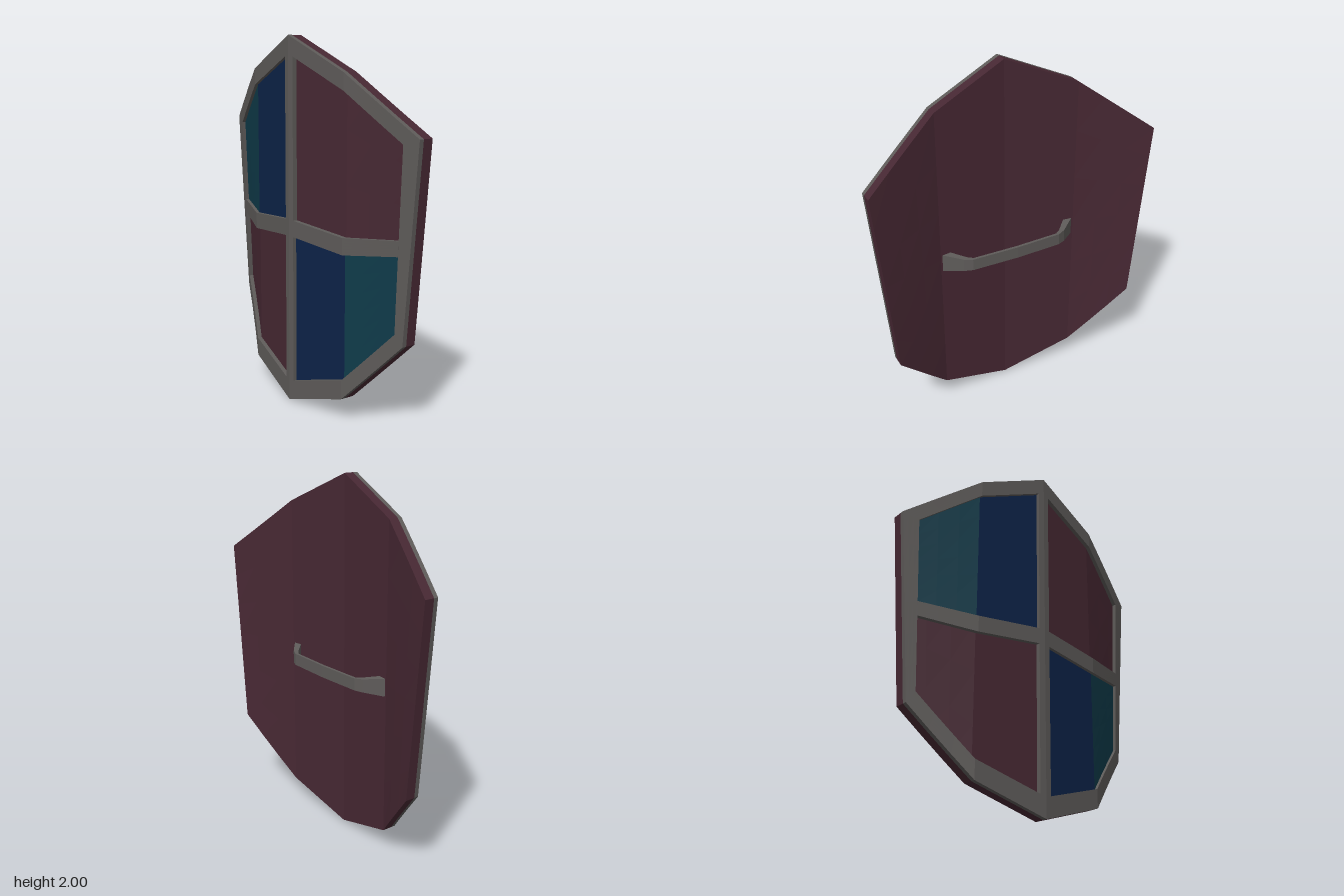
import * as THREE from 'three';

const mat = (name, color) => Object.assign(new THREE.MeshStandardMaterial({ color }), { name });

// Front surface of the bent shield: folds at x = 0 and x = +-0.41
function surfaceZ(x, y) {
  const a = Math.abs(x);
  if (a <= 0.41) return 0.13 - 0.05 * a / 0.41;
  const edge = 0.73 + 0.09 * (y - 0.48) / 1.04;
  return 0.08 - 0.135 * Math.min(1, (a - 0.41) / (edge - 0.41));
}

function quadGeometry(quads) {
  const pos = [];
  for (const [a, b, c, d] of quads) pos.push(...a, ...b, ...c, ...a, ...c, ...d);
  const g = new THREE.BufferGeometry();
  g.setAttribute('position', new THREE.Float32BufferAttribute(pos, 3));
  g.computeVertexNormals();
  return g;
}

const flip = (pts) => pts.map(([x, y]) => [-x, y]).reverse();
const both = (pts) => [...flip(pts).slice(0, -1), ...pts];

// Plate following the shield surface between an upper and a lower line (left to right)
function plate(tops, bottoms, offset, depth, rows = 6, steps = 3) {
  const columns = [];
  const lerp = (p, q, t) => [p[0] + (q[0] - p[0]) * t, p[1] + (q[1] - p[1]) * t];
  for (let i = 0; i < tops.length - 1; i++) {
    for (let s = i ? 1 : 0; s <= steps; s++) {
      const t = lerp(tops[i], tops[i + 1], s / steps);
      const b = lerp(bottoms[i], bottoms[i + 1], s / steps);
      columns.push(Array.from({ length: rows + 1 }, (_, r) => lerp(b, t, r / rows)));
    }
  }
  const layer = (o) => columns.map((c) => c.map(([x, y]) => [x, y, surfaceZ(x, y) - o]));
  const F = layer(offset), B = layer(offset + depth);
  const quads = [], n = columns.length - 1;
  for (let i = 0; i < n; i++) {
    const j = i + 1;
    for (let r = 0; r < rows; r++) {
      quads.push([F[i][r], F[j][r], F[j][r + 1], F[i][r + 1]]);
      quads.push([B[j][r], B[i][r], B[i][r + 1], B[j][r + 1]]);
    }
    quads.push([F[i][rows], F[j][rows], B[j][rows], B[i][rows]]);
    quads.push([B[i][0], B[j][0], F[j][0], F[i][0]]);
  }
  for (let r = 0; r < rows; r++) {
    quads.push([B[0][r], F[0][r], F[0][r + 1], B[0][r + 1]]);
    quads.push([F[n][r], B[n][r], B[n][r + 1], F[n][r + 1]]);
  }
  return quadGeometry(quads);
}

// Bent strap; each section is [outer x, outer z, inner x, inner z, half height]
function strap(half, y) {
  const left = half.map(([xo, zo, xi, zi, h]) => [-xo, zo, -xi, zi, h]);
  const all = [...left, ...half.slice(0, -1).reverse()];
  const quads = [];
  const corners = all.map(([xo, zo, xi, zi, h]) => ({
    ol: [xo, y - h, zo], oh: [xo, y + h, zo], il: [xi, y - h, zi], ih: [xi, y + h, zi],
  }));
  for (let i = 0; i < corners.length - 1; i++) {
    const a = corners[i], b = corners[i + 1];
    quads.push([b.ol, a.ol, a.oh, b.oh], [a.il, b.il, b.ih, a.ih]);
    quads.push([a.ih, b.ih, b.oh, a.oh], [a.ol, b.ol, b.il, a.il]);
  }
  return quadGeometry(quads);
}

export function createModel() {
  const wood = mat('maroon', 0x472833);
  const metal = mat('grey metal', 0x5e5b59);
  const navy = mat('navy', 0x0d2348);
  const teal = mat('teal', 0x0f3b4a);

  const model = new THREE.Group();
  model.name = 'shield';
  const add = (name, geometry, material) => {
    const mesh = new THREE.Mesh(geometry, material);
    mesh.name = name;
    model.add(mesh);
  };

  // Outer outline and inner edge of the rim, right half
  const outerTop = [[0, 2], [0.41, 1.82], [0.82, 1.52]];
  const outerBottom = [[0, 0], [0.41, 0.13], [0.73, 0.48]];
  const innerTop = [[0, 1.905], [0.41, 1.73], [0.735, 1.49]];
  const innerBottom = [[0, 0.11], [0.41, 0.235], [0.69, 0.54]];
  const frameDepth = 0.025;

  // Board
  add('board', plate(both(outerTop), both(outerBottom), frameDepth, 0.055), wood);

  // Raised frame
  add('topRim', plate(both(outerTop), both(innerTop), 0, frameDepth), metal);
  add('bottomRim', plate(both(innerBottom), both(outerBottom), 0, frameDepth), metal);
  const sideTop = [innerTop[2], outerTop[2]], sideBottom = [innerBottom[2], outerBottom[2]];
  add('leftRim', plate(sideTop, sideBottom, 0, frameDepth), metal);
  add('rightRim', plate(flip(sideTop), flip(sideBottom), 0, frameDepth), metal);
  add('verticalBar', plate(both([[0, 1.905], [0.035, 1.89]]),
    both([[0, 0.11], [0.035, 0.12]]), 0, frameDepth), metal);
  const barTop = [[0, 1.03], [0.41, 0.995], [0.712, 1.02]];
  const barBottom = [[0, 0.94], [0.41, 0.905], [0.708, 0.94]];
  add('crossBar', plate(both(barTop), both(barBottom), 0, frameDepth), metal);

  // Painted quarters: upper right and lower left
  const paint = (name, tops, bottoms, mirrored, material) => {
    const f = mirrored ? flip : (p) => p;
    add(name, plate(f(tops), f(bottoms), 0.02, 0.006), material);
  };
  paint('upperInnerPanel', innerTop.slice(0, 2), barTop.slice(0, 2), true, navy);
  paint('upperOuterPanel', innerTop.slice(1), barTop.slice(1), true, teal);
  paint('lowerInnerPanel', barBottom.slice(0, 2), innerBottom.slice(0, 2), false, navy);
  paint('lowerOuterPanel', barBottom.slice(1), innerBottom.slice(1), false, teal);

  // Grip on the back
  add('handle', strap([
    [0.405, 0.005, 0.355, 0.012, 0.05],
    [0.31, -0.072, 0.285, -0.058, 0.036],
    [0.265, -0.092, 0.255, -0.077, 0.033],
    [0, -0.1, 0, -0.084, 0.033],
  ], 0.95), metal);

  return model;
}
